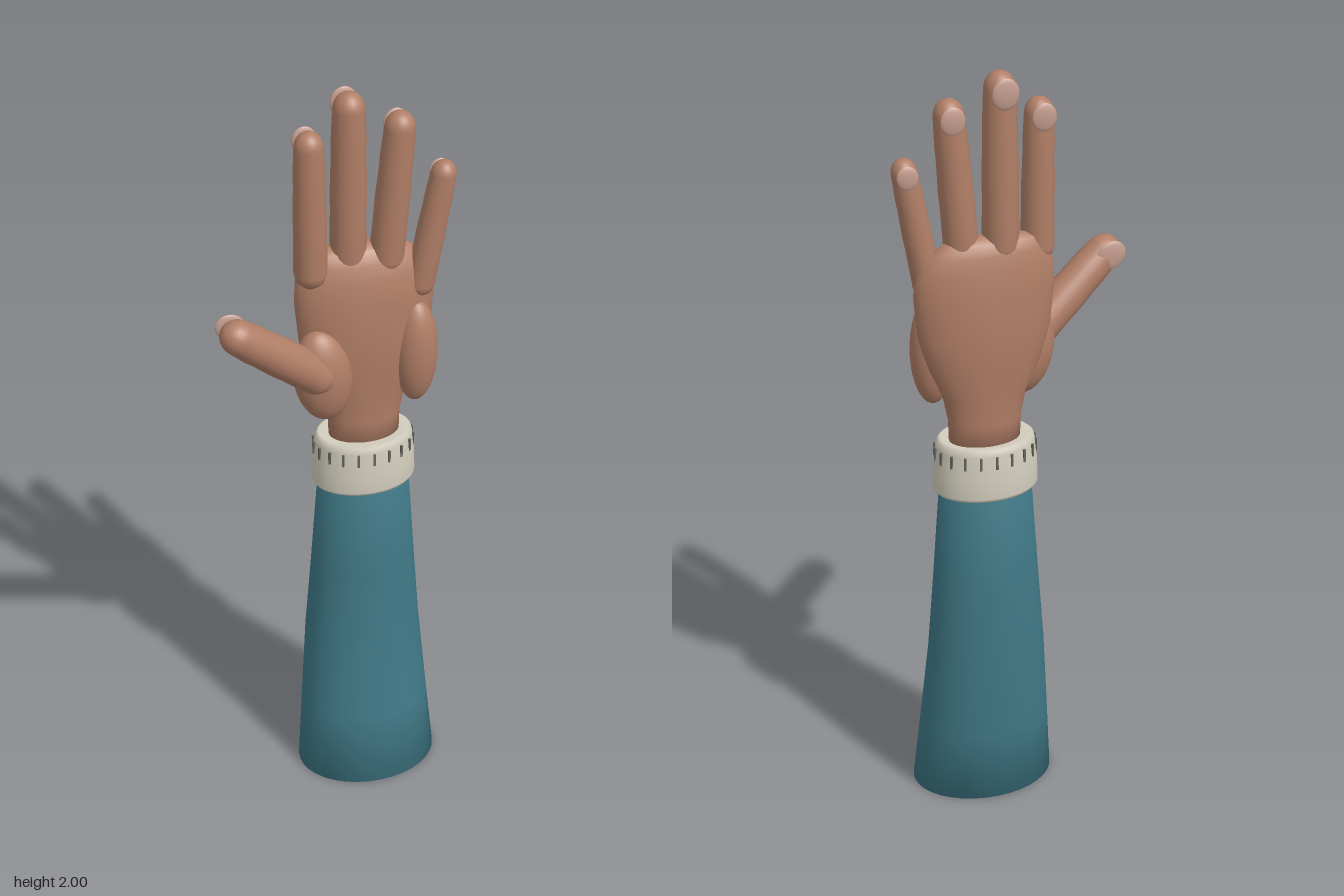
import * as THREE from 'three';

const mat = (name, color) => Object.assign(new THREE.MeshStandardMaterial({ color }), { name });

// Closed body from elliptical sections [y, cx, rx, cz, rz]
function loft(sections, n = 36) {
  const pos = [], idx = [];
  for (const [y, cx, rx, cz, rz] of sections) {
    for (let i = 0; i < n; i++) {
      const a = (i / n) * Math.PI * 2;
      pos.push(cx + rx * Math.cos(a), y, cz + rz * Math.sin(a));
    }
  }
  const last = sections.length - 1;
  for (let s = 0; s < last; s++) {
    for (let i = 0; i < n; i++) {
      const a = s * n + i, b = s * n + (i + 1) % n;
      idx.push(a, a + n, b, b, a + n, b + n);
    }
  }
  const c = pos.length / 3;
  for (const s of [0, last]) pos.push(sections[s][1], sections[s][0], sections[s][3]);
  for (let i = 0; i < n; i++) {
    const j = (i + 1) % n;
    idx.push(c, i, j, c + 1, last * n + j, last * n + i);
  }
  const g = new THREE.BufferGeometry();
  g.setAttribute('position', new THREE.Float32BufferAttribute(pos, 3));
  g.setIndex(idx);
  g.computeVertexNormals();
  return g;
}

export function createModel() {
  const skin = mat('skin', 0xb07e66);
  const teal = mat('sleeve teal', 0x3f7886);
  const cream = mat('cuff cream', 0xd2cdbd);
  const stitch = mat('stitch grey', 0x66645c);
  const nailPink = mat('nail pink', 0xc49c8e);

  const model = new THREE.Group();
  model.name = 'raisedHand';
  const add = (name, geometry, material) => {
    const m = new THREE.Mesh(geometry, material);
    m.name = name;
    model.add(m);
    return m;
  };

  // Sleeve and cuff
  add('sleeve', loft([
    [0, 0.09, 0.19, 0.01, 0.145],
    [0.2, 0.09, 0.174, -0.012, 0.135],
    [0.43, 0.09, 0.156, -0.034, 0.119],
    [0.65, 0.09, 0.139, -0.035, 0.106],
    [0.93, 0.09, 0.119, -0.036, 0.092],
  ]), teal);
  add('cuff', loft([
    [0.905, 0.09, 0.118, -0.037, 0.088],
    [0.906, 0.09, 0.132, -0.037, 0.097],
    [0.915, 0.09, 0.137, -0.037, 0.101],
    [0.97, 0.09, 0.135, -0.037, 0.1],
    [1.03, 0.09, 0.129, -0.037, 0.095],
    [1.045, 0.09, 0.125, -0.037, 0.092],
    [1.051, 0.09, 0.117, -0.037, 0.085],
    [1.045, 0.09, 0.107, -0.037, 0.077],
  ]), cream);

  // Stitches around the cuff
  for (let i = 0; i < 20; i++) {
    const a = (i / 20) * Math.PI * 2, c = Math.cos(a), s = Math.sin(a);
    const m = add('cuffStitch', new THREE.BoxGeometry(0.006, 0.034, 0.007), stitch);
    m.position.set(0.09 + 0.131 * c, 1.013, -0.037 + 0.096 * s);
    m.rotation.y = Math.atan2(c / 0.131, s / 0.096);
  }

  // Wrist and palm
  add('palm', loft([
    [1.03, 0.092, 0.092, -0.039, 0.061],
    [1.1, 0.092, 0.094, -0.04, 0.062],
    [1.17, 0.092, 0.108, -0.04, 0.064],
    [1.25, 0.092, 0.145, -0.04, 0.07],
    [1.34, 0.092, 0.17, -0.04, 0.075],
    [1.45, 0.091, 0.18, -0.04, 0.068],
    [1.51, 0.088, 0.174, -0.041, 0.058],
    [1.55, 0.082, 0.153, -0.043, 0.048],
    [1.58, 0.075, 0.12, -0.046, 0.034],
    [1.592, 0.07, 0.07, -0.047, 0.015],
  ]), skin);

  // Fleshy pads at the base of the thumb and below the little finger
  const pads = [
    ['thumbPad', [-0.03, 1.26, 0.005], [0.075, 0.13, 0.058], 0.12],
    ['heelPad', [0.214, 1.285, 0.0], [0.056, 0.145, 0.052], 0],
  ];
  for (const [name, p, s, tilt] of pads) {
    const m = add(name, new THREE.SphereGeometry(1, 28, 20), skin);
    m.position.set(...p);
    m.scale.set(...s);
    m.rotation.z = tilt;
  }

  // Tapered digit with soft joints, from base centre to fingertip
  function digit(name, base, tip, r, nailSize, nailAt) {
    const a = new THREE.Vector3(...base), b = new THREE.Vector3(...tip);
    const dir = b.clone().sub(a), len = dir.length();
    const profile = [[0, -r], [0.5 * r, -0.86 * r], [0.87 * r, -0.5 * r], [r, 0]];
    const along = [[0.3, 0.96], [0.4, 0.98], [0.62, 0.92], [0.7, 0.93]];
    for (const [t, k] of along) profile.push([r * k, t * len]);
    const e = r * 0.86;
    for (let i = 0; i <= 7; i++) {
      const t = (i / 7) * Math.PI / 2;
      profile.push([i === 7 ? 0 : e * Math.cos(t), len - e * 1.15 + e * 1.15 * Math.sin(t)]);
    }
    const m = add(name, new THREE.LatheGeometry(profile.map(p => new THREE.Vector2(...p)), 24), skin);
    m.position.copy(a);
    m.quaternion.setFromUnitVectors(new THREE.Vector3(0, 1, 0), dir.normalize());

    const nail = add(name + 'Nail', new THREE.SphereGeometry(1, 20, 12), nailPink);
    nail.position.set(...nailAt);
    nail.scale.set(nailSize, nailSize * 1.15, 0.008);
    nail.rotation.z = -Math.atan2(dir.x, dir.y);
  }

  digit('indexFinger', [-0.05, 1.54, -0.028], [-0.054, 1.92, -0.025], 0.042, 0.031, [-0.054, 1.88, -0.064]);
  digit('middleFinger', [0.05, 1.56, -0.045], [0.05, 2.0, -0.042], 0.046, 0.034, [0.05, 1.955, -0.086]);
  digit('ringFinger', [0.145, 1.55, -0.034], [0.175, 1.94, -0.027], 0.044, 0.031, [0.173, 1.895, -0.065]);
  digit('littleFinger', [0.228, 1.47, -0.02], [0.286, 1.8, -0.014], 0.037, 0.027, [0.28, 1.76, -0.045]);
  digit('thumb', [-0.05, 1.275, 0.022], [-0.297, 1.483, 0.082], 0.052, 0.036, [-0.268, 1.457, 0.034]);

  return model;
}
